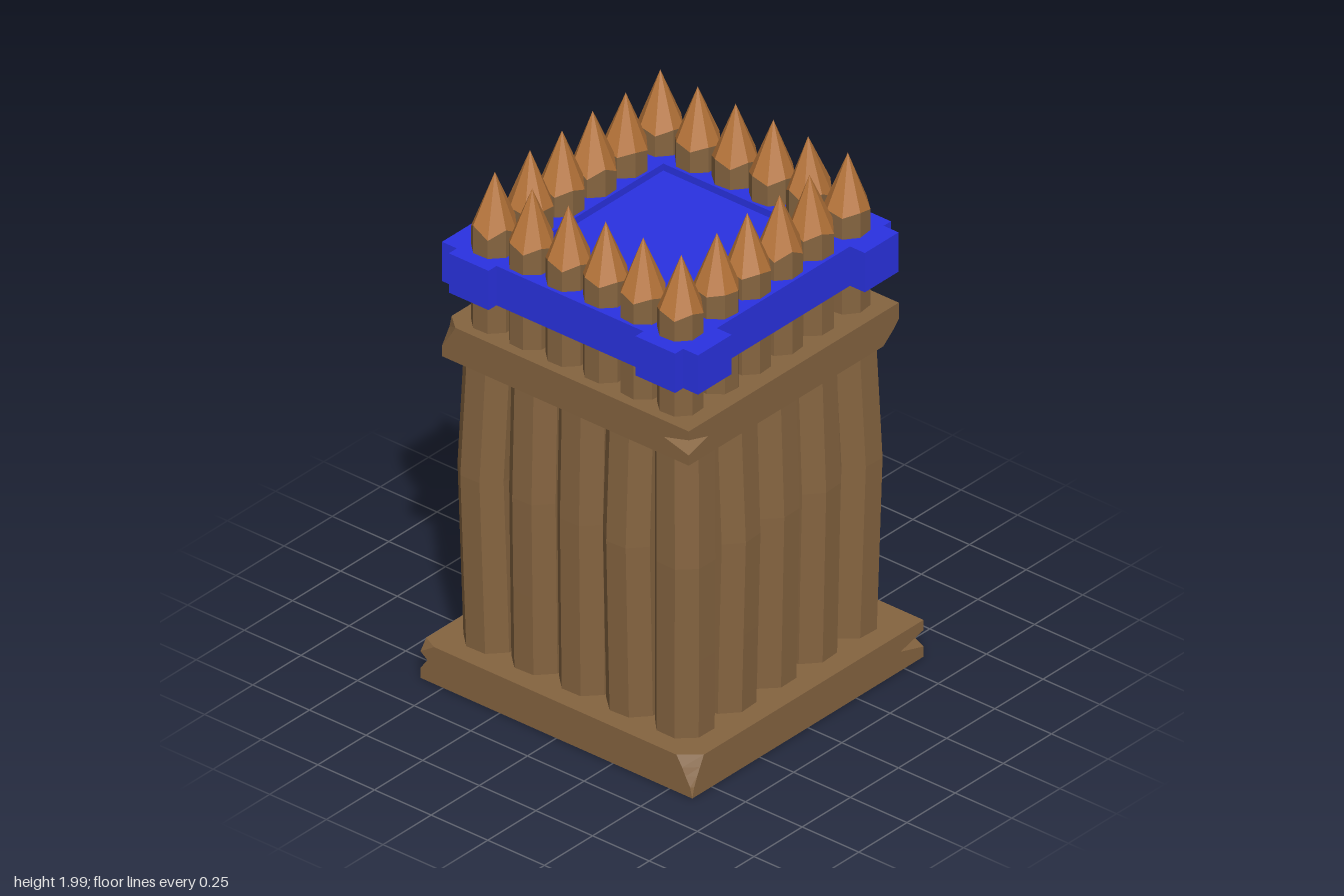
import * as THREE from 'three';

const wood = new THREE.MeshStandardMaterial({ color: 0x856440, side: THREE.DoubleSide });
wood.name = 'wood';
const cutWood = new THREE.MeshStandardMaterial({ color: 0xb67439 });
cutWood.name = 'freshCutWood';
const blue = new THREE.MeshStandardMaterial({ color: 0x2a32e2 });
blue.name = 'bluePaint';

// small seeded random, from -1 to 1
let seed = 7;
function rnd() {
  seed = (seed * 16807) % 2147483647;
  return (seed / 2147483647) * 2 - 1;
}

// joins a stack of equal-length rings into a flat-shaded skin
function loft(rings) {
  const pos = [];
  const tri = (a, b, c) => {
    const area = b.clone().sub(a).cross(c.clone().sub(a)).length();
    if (area > 1e-9) for (const p of [a, b, c]) pos.push(p.x, p.y, p.z);
  };
  for (let i = 0; i < rings.length - 1; i++) {
    const lo = rings[i], hi = rings[i + 1], n = lo.length;
    for (let j = 0; j < n; j++) {
      const k = (j + 1) % n;
      tri(lo[j], lo[k], hi[k]);
      tri(lo[j], hi[k], hi[j]);
    }
  }
  const g = new THREE.BufferGeometry();
  g.setAttribute('position', new THREE.Float32BufferAttribute(pos, 3));
  g.computeVertexNormals();
  return g;
}

// eight-sided ring; jag raises and lowers alternate corners
function ring(x, y, z, r, turn = 0, jag = 0) {
  return Array.from({ length: 8 }, (_, i) => {
    const a = turn + (i * Math.PI) / 4;
    return new THREE.Vector3(x + r * Math.cos(a), y + (i % 2 ? jag : -jag), z - r * Math.sin(a));
  });
}

// square ring with each corner cut by [cx, cz]; corners: ++, +-, --, -+
function squareRing(h, y, cuts = []) {
  const pts = [];
  [[1, 1], [1, -1], [-1, -1], [-1, 1]].forEach(([sx, sz], i) => {
    const [cx, cz] = cuts[i] || [0, 0];
    const pair = [
      new THREE.Vector3(sx * (h - cx), y, sz * h),
      new THREE.Vector3(sx * h, y, sz * (h - cz)),
    ];
    if (i % 2) pair.reverse();
    pts.push(...pair);
  });
  return pts;
}

function add(parent, name, geometry, material) {
  const mesh = new THREE.Mesh(geometry, material);
  mesh.name = name;
  parent.add(mesh);
  return mesh;
}

// positions around the edge of a rectangle, n per side
function perimeter(n, halfX, halfZ, place) {
  for (let i = 0; i < n; i++) {
    for (let j = 0; j < n; j++) {
      if (i % (n - 1) && j % (n - 1)) continue;
      place(halfX * ((2 * i) / (n - 1) - 1), halfZ * ((2 * j) / (n - 1) - 1));
    }
  }
}

export function createModel() {
  const model = new THREE.Group();
  model.name = 'woodenWatchtower';

  // base slab, open beneath, two corners chipped and two notched
  const no = [0, 0];
  add(model, 'baseSlab', loft([
    squareRing(0.6, 0, [no, no, [0.05, 0.05]]),
    squareRing(0.6, 0.04, [[0.01, 0.01], no, [0.036, 0.036]]),
    squareRing(0.6, 0.075, [[0.03, 0.025], [0.07, 0.12], [0.024, 0.024], [0.04, 0.1]]),
    squareRing(0.6, 0.105, [[0.045, 0.04], no, [0.014, 0.014]]),
    squareRing(0.6, 0.145, [[0.07, 0.06], no, no, [0.06, 0.03]]),
    squareRing(0, 0.145),
  ]), wood);

  // upper slab with the same weathering
  add(model, 'upperSlab', loft([
    squareRing(0, 1.265),
    squareRing(0.545, 1.265, [no, [0.07, 0.08]]),
    squareRing(0.545, 1.305, [no, [0.03, 0.03]]),
    squareRing(0.545, 1.335, [[0.11, 0.1], no, [0.1, 0.1], [0.02, 0.02]]),
    squareRing(0.545, 1.365, [no, no, no, [0.04, 0.04]]),
    squareRing(0.545, 1.4, [no, no, no, [0.06, 0.05]]),
    squareRing(0, 1.4),
  ]), wood).position.set(-0.004, 0, 0.004);

  // thick wall logs with open ends, slightly bowed outward
  const walls = new THREE.Group();
  walls.name = 'wallLogs';
  walls.position.set(-0.003, 0, 0.004);
  model.add(walls);
  perimeter(5, 0.42, 0.42, (x, z) => {
    const turn = Math.PI / 8 + rnd() * 0.07;
    const ox = Math.abs(x) > 0.4 ? x : 0;
    const oz = Math.abs(z) > 0.4 ? z : 0;
    const level = (y, r, s) => ring(x + ox * s, y, z + oz * s, r, turn);
    const bend = 0.035 + rnd() * 0.015;
    add(walls, 'wallLog', loft([
      level(0.06, 0.106, 0),
      level(0.45, 0.107, bend * 0.5),
      level(0.82, 0.107, bend),
      level(1.3, 0.106, 0),
    ]), wood);
  });

  // slim sharpened stakes above the slab
  const stakes = new THREE.Group();
  stakes.name = 'stakes';
  stakes.position.set(-0.004, 0, 0.003);
  model.add(stakes);
  perimeter(6, 0.411, 0.432, (x, zRow) => {
    const z = Math.abs(zRow) > 0.4 ? zRow : zRow * 0.95;
    const turn = Math.PI / 8 + rnd() * 0.12;
    const jag = 0.012 + rnd() * 0.008;
    const top = ring(x, 1.785, z, 0.081, turn, jag);
    add(stakes, 'stakePost', loft([ring(x, 1.38, z, 0.081, turn), top]), wood);
    add(stakes, 'stakeTip', loft([top, ring(x + rnd() * 0.005, 1.99, z + rnd() * 0.005, 0, turn)]), cutWood);
  });

  // crossed blue rails with overhanging ends
  const rails = new THREE.Group();
  rails.name = 'rails';
  model.add(rails);
  for (const s of [-1, 1]) {
    add(rails, 'crossRail', new THREE.BoxGeometry(1.13, 0.155, 0.175), blue)
      .position.set(-0.005, 1.618, 0.003 + s * 0.433);
    add(rails, 'sideRail', new THREE.BoxGeometry(0.175, 0.155, 1.12), blue)
      .position.set(-0.005 + s * 0.412, 1.618, 0.005);
  }

  // platform floor, sunk a little between the rails
  add(model, 'platform', new THREE.BoxGeometry(0.68, 0.08, 0.72), blue).position.set(-0.005, 1.628, 0);

  return model;
}
